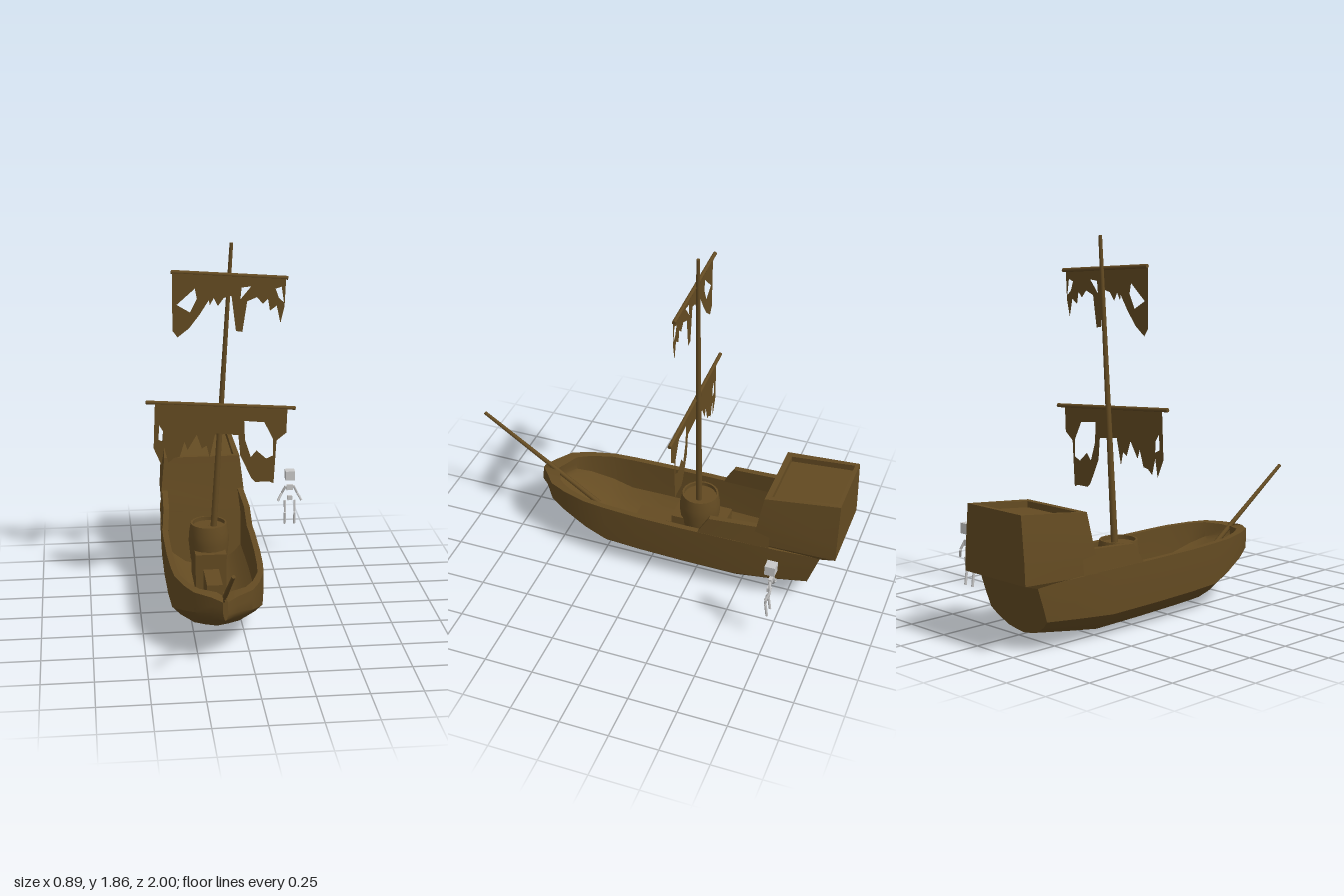
import * as THREE from 'three';
import { toCreasedNormals } from 'three/addons/utils/BufferGeometryUtils.js';

const wood = new THREE.MeshStandardMaterial({ color: 0x644b22, side: THREE.DoubleSide });
wood.name = 'weathered wood';
const grey = new THREE.MeshStandardMaterial({ color: 0xc8c8c8 });
grey.name = 'pale grey';

function add(parent, name, geometry, material = wood) {
  const mesh = new THREE.Mesh(geometry, material);
  mesh.name = name;
  parent.add(mesh);
  return mesh;
}

// Skin over rows of points; each row may be a closed ring.
function skin(rows, closed = false, crease = 0.6) {
  const n = rows[0].length, index = [];
  for (let i = 0; i < rows.length - 1; i++) {
    for (let j = 0; j < (closed ? n : n - 1); j++) {
      const k = (j + 1) % n, a = i * n + j, b = i * n + k;
      index.push(a, b, a + n, b, b + n, a + n);
    }
  }
  const g = new THREE.BufferGeometry();
  g.setAttribute('position', new THREE.Float32BufferAttribute(rows.flat(2), 3));
  g.setIndex(index);
  return toCreasedNormals(g, crease);
}

// Round rod between two points.
function rod(parent, name, a, b, r0, r1 = r0, material = wood, sides = 8) {
  const p = new THREE.Vector3(...a), q = new THREE.Vector3(...b), d = q.clone().sub(p);
  const mesh = add(parent, name, new THREE.CylinderGeometry(r1, r0, d.length(), sides), material);
  mesh.position.copy(p).add(q).multiplyScalar(0.5);
  mesh.quaternion.setFromUnitVectors(new THREE.Vector3(0, 1, 0), d.normalize());
}

function box(parent, name, size, pos, material = wood) {
  add(parent, name, new THREE.BoxGeometry(...size), material).position.set(...pos);
}

// Half cross-section from keel to rim, as fractions of half-width and height.
const SECTION = [[0, 0], [0.25, 0.03], [0.5, 0.075], [0.8, 0.22], [0.98, 0.35], [1, 0.65], [1, 1]];
const half = (zk, zr, w, yk, yr) =>
  SECTION.map(([u, v]) => [u * w, yk + v * (yr - yk), zk + v * (zr - zk)]);
const flip = ([x, y, z]) => [-x, y, z];

function buildHull(hull) {
  // keel z, rim z, half-width, keel y, rim y, inner setback at the bow
  const stations = [
    [-0.83, -0.92, 0.2, 0.06, 0.325, 0], [-0.66, -0.7, 0.225, 0.032, 0.335, 0],
    [-0.48, -0.48, 0.235, 0.003, 0.34, 0], [-0.2, -0.2, 0.239, 0.008, 0.34, 0],
    [0.05, 0.05, 0.236, 0.014, 0.34, 0], [0.23, 0.23, 0.228, 0.02, 0.343, 0],
    [0.34, 0.34, 0.218, 0.08, 0.345, 0], [0.47, 0.47, 0.182, 0.148, 0.348, 0.02],
    [0.56, 0.56, 0.14, 0.193, 0.349, 0.04], [0.62, 0.62, 0.062, 0.222, 0.345, 0.06],
    [0.67, 0.66, 0.012, 0.245, 0.335, 0.075],
  ];
  const rings = stations.map(([zk, zr, w, yk, yr, back]) => {
    const outer = half(zk, zr, w, yk, yr);
    const inner = half(zk - back, zr - back, Math.max(w - 0.03, 0.003), yk + 0.04, yr);
    return [...outer, ...inner.slice().reverse(), ...inner.slice(1).map(flip),
      ...outer.slice(1).reverse().map(flip)];
  });
  add(hull, 'hullShell', skin(rings, true));

  // flat ends: transom, stem and the bulkhead under the stern castle
  const first = half(...stations[0]), last = half(...stations[stations.length - 1]);
  add(hull, 'transom', skin(first.map((p) => [p, flip(p)])));
  add(hull, 'stem', skin(last.map((p) => [flip(p), p])));
  add(hull, 'bulkhead', skin(half(-0.5, -0.56, 0.222, 0.03, 0.335).map((p) => [flip(p), p])));

  // raised bulwarks leading to the stern castle
  const wall = [[-0.66, 0.335, 0.453], [-0.59, 0.335, 0.45], [-0.34, 0.335, 0.435], [-0.285, 0.335, 0.34]];
  const bulwark = skin(wall.map(([z, y0, y1]) => {
    const w = 0.237 + Math.min(0, z + 0.48) * 0.06, t = w - (y1 - y0) * 0.1;
    return [[w, y0, z], [t, y1, z], [t - 0.03, y1, z], [w - 0.03, y0, z]];
  }), true);
  add(hull, 'leftBulwark', bulwark);
  add(hull, 'rightBulwark', bulwark).scale.x = -1;

  // stern castle with a sunken top deck: front y, back y, front z, back z, half-widths
  const castle = [
    [0.325, 0.32, -0.56, -0.92, 0.222, 0.2], [0.345, 0.345, -0.563, -1, 0.222, 0.21],
    [0.45, 0.45, -0.59, -1, 0.222, 0.205], [0.625, 0.665, -0.62, -1, 0.203, 0.185],
    [0.625, 0.665, -0.65, -0.98, 0.173, 0.162], [0.595, 0.632, -0.65, -0.98, 0.173, 0.162],
    [0.613, 0.613, -0.815, -0.815, 0.001, 0.001],
  ].map(([yf, yb, zf, zb, wf, wb]) => [[wf, yf, zf], [wb, yb, zb], [-wb, yb, zb], [-wf, yf, zf]]);
  add(hull, 'sternCastle', skin(castle, true, 0.3));

  // keel timbers and the round mast step
  box(hull, 'keelTimber', [0.08, 0.16, 0.65], [0, 0.11, -0.205]);
  box(hull, 'mastBlock', [0.16, 0.24, 0.28], [0, 0.15, -0.23]);
  const profile = [[0.095, 0.2], [0.105, 0.3], [0.104, 0.345], [0.094, 0.4], [0.084, 0.4], [0.084, 0.38], [0.001, 0.38]];
  const step = new THREE.LatheGeometry(profile.map((p) => new THREE.Vector2(...p)), 20);
  add(hull, 'mastStep', toCreasedNormals(step, 0.6)).position.z = -0.22;

  rod(hull, 'bowsprit', [0.003, 0.17, 0.35], [0.003, 0.605, 0.995], 0.014, 0.009);
}

// Torn cloth from an outline and holes; units are hundredths.
function sail(parent, name, outline, holes) {
  const points = (list) => list.map(([x, y]) => new THREE.Vector2(x / 100, y / 100));
  const shape = new THREE.Shape(points(outline));
  shape.holes = holes.map((h) => new THREE.Path(points(h)));
  add(parent, name, new THREE.ShapeGeometry(shape)).position.z = -0.198;
}

function buildRig(rig) {
  rod(rig, 'mast', [-0.115, 0.2, -0.222], [-0.01, 1.86, -0.222], 0.018, 0.009, wood, 10);
  rod(rig, 'lowerYard', [-0.445, 1.062, -0.206], [0.315, 1.008, -0.206], 0.01);
  rod(rig, 'upperYard', [-0.31, 1.725, -0.206], [0.27, 1.682, -0.206], 0.01);
  sail(rig, 'upperSail', [
    [-30.5, 172], [-30.7, 143], [-28.2, 139.5], [-22.4, 144], [-17, 151], [-12.5, 158], [-12, 155.5],
    [-10, 159], [-8, 155], [-5, 159], [-1.2, 160], [1, 142], [4.2, 141.5], [6.6, 157], [11.5, 159],
    [14.5, 155.5], [17, 158], [18, 152], [21.4, 154.5], [23.3, 145.5], [25.3, 154], [26, 168.5],
  ], [
    [[-19.4, 164], [-18.4, 159], [-21.8, 152], [-28.5, 156]],
    [[3.8, 164], [8.6, 164.5], [3.2, 158]],
    [[20.8, 163], [23.8, 164], [25, 156], [22.4, 158.5]],
  ]);
  sail(rig, 'lowerSail', [
    [-40, 105.5], [-41, 82], [-37.2, 73], [-35.6, 82], [-33.6, 74], [-30.7, 76.5], [-27.8, 77],
    [-25.3, 85], [-23.8, 80.5], [-19, 88.5], [-16.5, 81], [-14, 82.5], [-12.5, 76], [-9.6, 89],
    [2.2, 87.5], [3.2, 76.5], [9, 64], [11, 62], [18, 62], [20.4, 61], [21.8, 84], [26.8, 88], [27.3, 101],
  ], [
    [[5.2, 95], [15.5, 94], [20, 85], [20, 76], [16.5, 74.5], [11.5, 79], [8.6, 75.5], [5.6, 85]],
    [[-38, 94], [-35.6, 90], [-35.6, 85], [-38.5, 86.5]],
  ]);
}

// Small jointed figure beside the stern.
function buildFigure(figure) {
  box(figure, 'head', [0.052, 0.052, 0.052], [0.368, 0.459, -0.75], grey);
  box(figure, 'chest', [0.036, 0.03, 0.018], [0.368, 0.385, -0.752], grey);
  box(figure, 'pelvis', [0.026, 0.024, 0.016], [0.368, 0.325, -0.745], grey);
  const limb = (name, a, b) => rod(figure, name, a, b, 0.007, 0.007, grey, 6);
  for (const s of [1, -1]) {
    const x = (d) => 0.368 + s * d;
    limb('upperArm', [x(0.022), 0.392, -0.752], [x(0.042), 0.35, -0.763]);
    limb('forearm', [x(0.044), 0.346, -0.763], [x(0.066), 0.308, -0.748]);
    limb('thigh', [x(0.027), 0.31, -0.747], [x(0.027), 0.246, -0.738]);
    limb('shin', [x(0.027), 0.24, -0.74], [x(0.027), 0.172, -0.75]);
  }
}

export function createModel() {
  const model = new THREE.Group();
  model.name = 'tatteredShip';
  for (const [name, build] of [['hull', buildHull], ['rigging', buildRig], ['figure', buildFigure]]) {
    const part = new THREE.Group();
    part.name = name;
    build(part);
    model.add(part);
    if (name === 'hull') part.position.x = -0.13;
  }
  return model;
}
